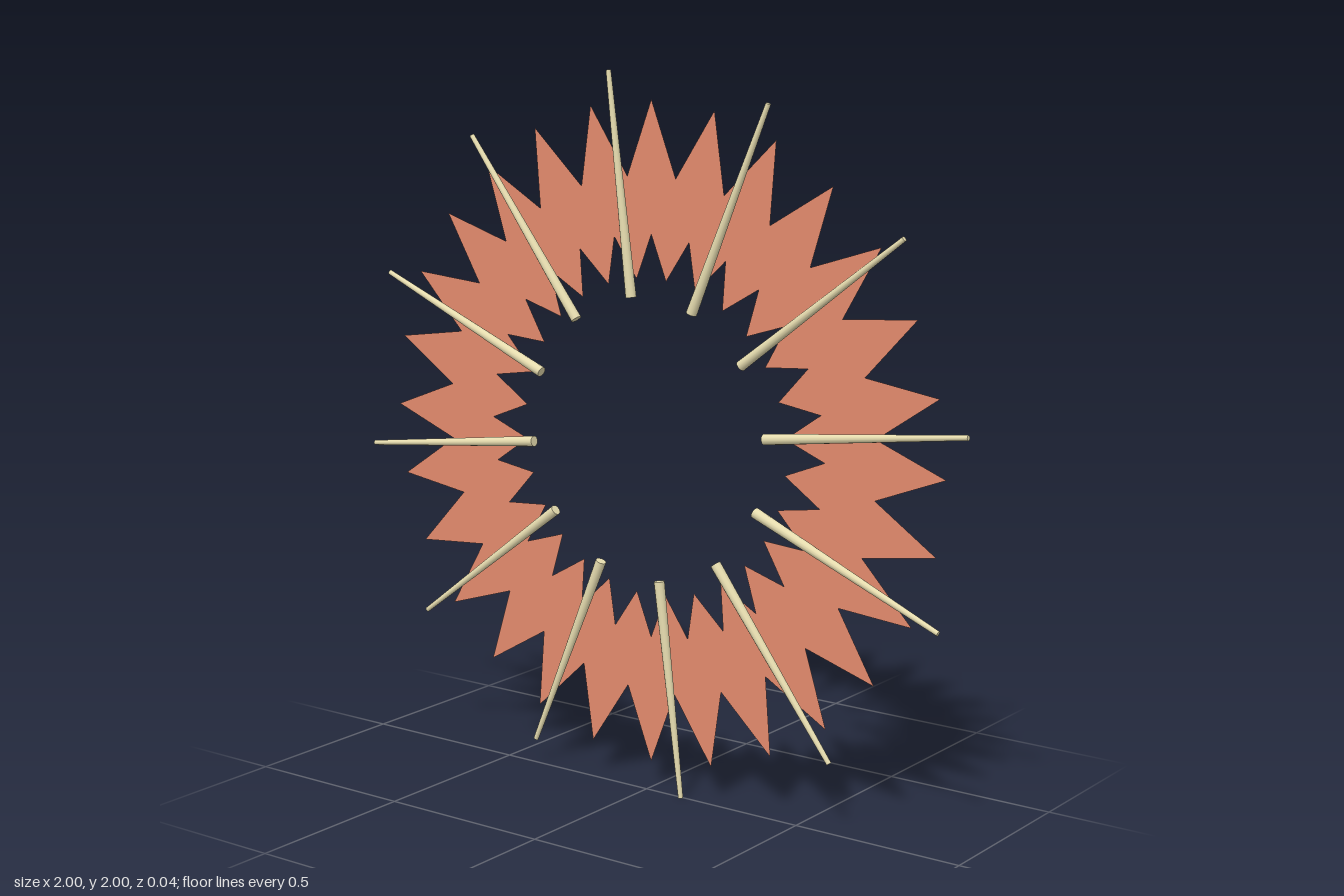
import * as THREE from 'three';

const POINTS = 28;
const SPIKES = 12;

// Closed zigzag outline: tips at radius a, valleys at radius b
function zigzag(target, a, b) {
  for (let i = 0; i < POINTS * 2; i++) {
    const t = (i * Math.PI) / POINTS;
    const r = i % 2 ? b : a;
    const x = r * Math.sin(t), y = r * Math.cos(t);
    if (i) target.lineTo(x, y); else target.moveTo(x, y);
  }
  target.closePath();
  return target;
}

export function createModel() {
  const terracotta = new THREE.MeshStandardMaterial({ color: 0xe38a6d, side: THREE.DoubleSide });
  terracotta.name = 'terracotta';
  const bone = new THREE.MeshStandardMaterial({ color: 0xeae0b2 });
  bone.name = 'bone';

  const model = new THREE.Group();
  model.name = 'spikedCollar';

  // Flat collar, jagged on both its outer and inner edge
  const outline = zigzag(new THREE.Shape(), 0.924, 0.72);
  outline.holes.push(zigzag(new THREE.Path(), 0.562, 0.44));
  const collar = new THREE.Mesh(new THREE.ShapeGeometry(outline), terracotta);
  collar.name = 'collar';
  collar.position.set(0, 1, -0.021);
  model.add(collar);

  // Tapered spikes lying on the front of the collar, thick end inward
  const inner = 0.393, outer = 1.007;
  const spikeGeometry = new THREE.CylinderGeometry(0.007, 0.015, outer - inner, 12);
  spikeGeometry.translate(0, (inner + outer) / 2, 0);
  const spikes = new THREE.Group();
  spikes.name = 'spikes';
  spikes.position.set(0, 1, 0.007);
  for (let i = 0; i < SPIKES; i++) {
    const spike = new THREE.Mesh(spikeGeometry, bone);
    spike.name = 'spike';
    spike.rotation.z = THREE.MathUtils.degToRad(7 + (i * 360) / SPIKES);
    spikes.add(spike);
  }
  model.add(spikes);

  return model;
}
